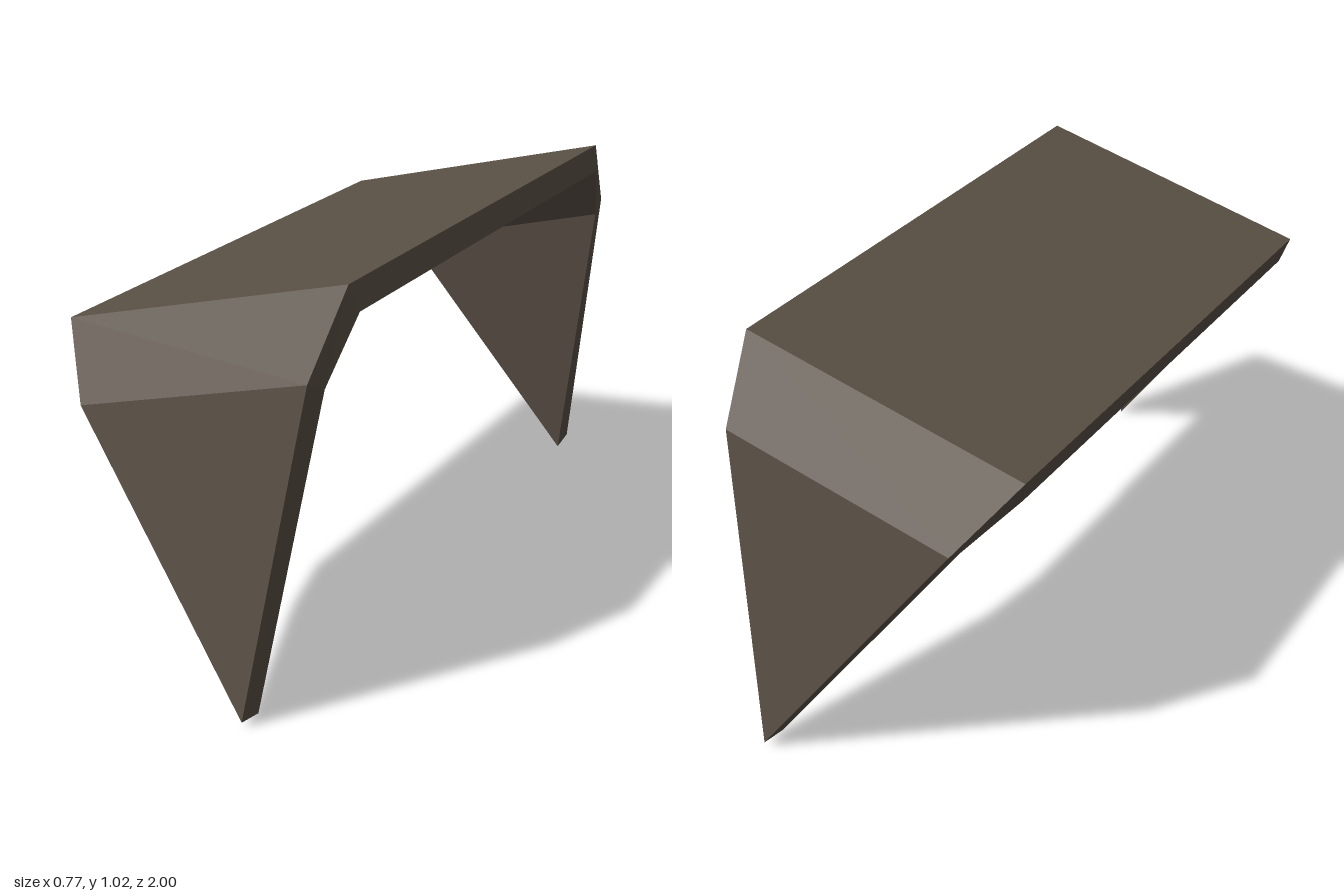
import * as THREE from 'three';

// Cross-sections from the middle of the bench out to a foot.
// Corners: outer left, outer right, inner right, inner left.
const SHOULDER = [[-0.39, 0.83, 0.75], [0.37, 1.025, 0.75], [0.385, 0.957, 0.725], [-0.37, 0.767, 0.725]];
const BEND = [[-0.27, 0.672, 0.89], [0.342, 0.83, 0.89], [0.35, 0.8, 0.825], [-0.258, 0.642, 0.825]];
const FOOT = [[0.222, 0.014, 1], [0.222, 0.014, 1], [0.222, 0, 0.925], [0.222, 0, 0.925]];

const mirrorZ = (section) => section.map(([x, y, z]) => [x, y, -z]);

// Faceted skin between two sections, the first one further back
function loft(back, front) {
  const positions = [];
  for (let i = 0; i < 4; i++) {
    const j = (i + 1) % 4;
    const quad = [back[i], front[i], front[j], back[j]];
    for (const k of [0, 1, 2, 0, 2, 3]) positions.push(...quad[k]);
  }
  const geometry = new THREE.BufferGeometry();
  geometry.setAttribute('position', new THREE.Float32BufferAttribute(positions, 3));
  geometry.computeVertexNormals();
  return geometry;
}

export function createModel() {
  const group = new THREE.Group();
  const darkWood = new THREE.MeshStandardMaterial({ color: 0x5a5045, flatShading: true });
  darkWood.name = 'darkWood';

  const add = (name, back, front) => {
    const mesh = new THREE.Mesh(loft(back, front), darkWood);
    mesh.name = name;
    group.add(mesh);
  };

  // Sloping top slab
  add('topSlab', mirrorZ(SHOULDER), SHOULDER);

  // Bevelled shoulders and pointed triangular legs at both ends
  add('frontShoulder', SHOULDER, BEND);
  add('frontLeg', BEND, FOOT);
  add('backShoulder', mirrorZ(BEND), mirrorZ(SHOULDER));
  add('backLeg', mirrorZ(FOOT), mirrorZ(BEND));

  return group;
}
